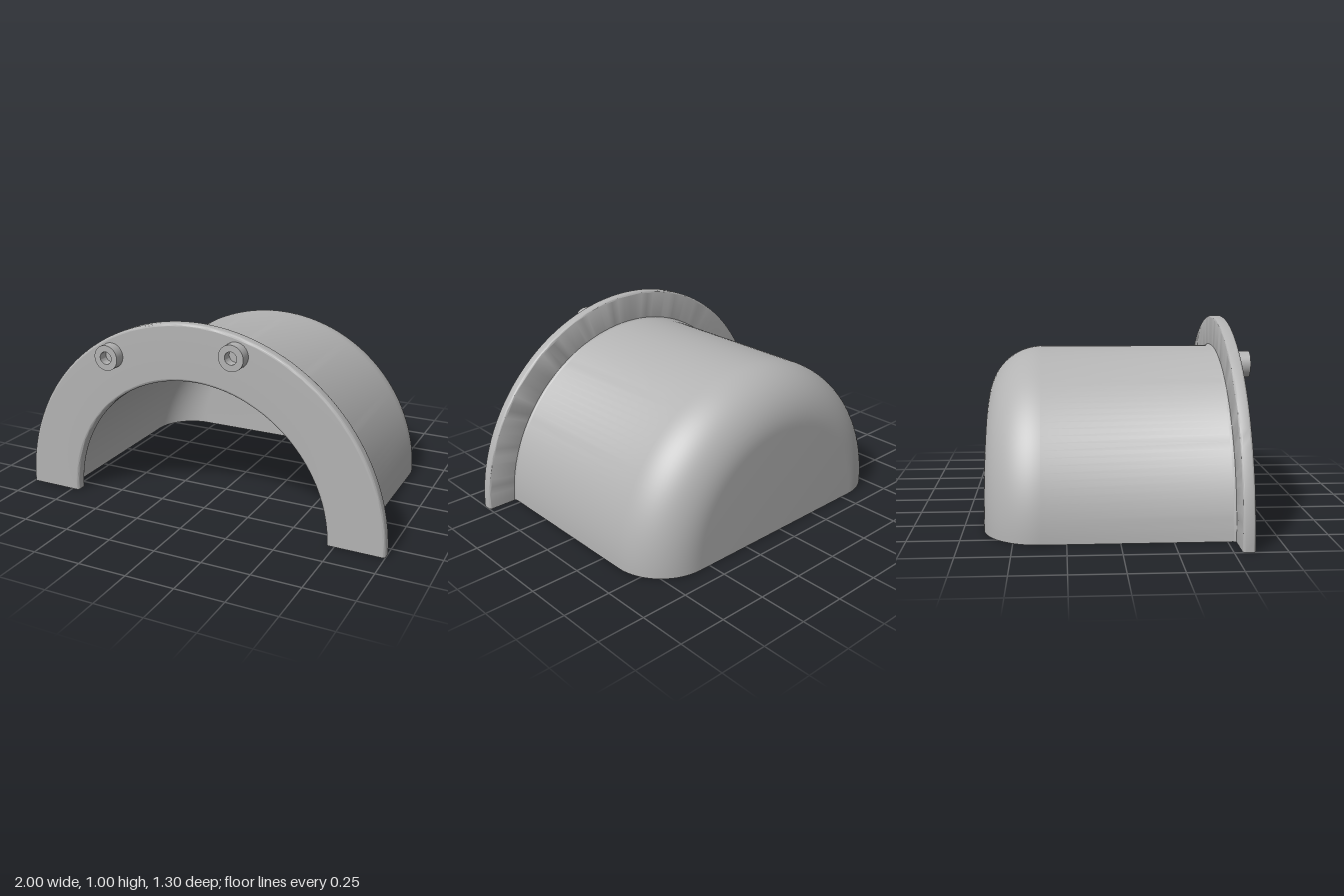
import * as THREE from 'three';
import { toCreasedNormals } from 'three/addons/utils/BufferGeometryUtils.js';

const grey = new THREE.MeshStandardMaterial({ color: 0xb3b3b3 });
grey.name = 'plain grey';

// Half revolution of a closed (radius, z) outline about the z axis, arching over y = 0
function halfRevolve(name, shape) {
  const points = shape.getPoints(10);
  const group = new THREE.Group();
  group.name = name;
  const arch = new THREE.LatheGeometry(points, 72, Math.PI / 2, Math.PI).rotateX(Math.PI / 2);
  const surface = new THREE.Mesh(toCreasedNormals(arch, 0.6), grey);
  surface.name = name + 'Surface';
  group.add(surface);

  // Flat feet closing the two cut ends
  for (const side of [1, -1]) {
    const outline = new THREE.Shape(points.map((p) => new THREE.Vector2(side * p.x, p.y)));
    const foot = new THREE.Mesh(new THREE.ShapeGeometry(outline).rotateX(Math.PI / 2), grey);
    foot.name = name + (side > 0 ? 'LeftFoot' : 'RightFoot');
    group.add(foot);
  }
  return group;
}

// Thin hood with a rounded back and a small fillet where it meets the flange
function hoodOutline() {
  const s = new THREE.Shape();
  s.moveTo(0, -0.65);
  s.lineTo(0.56, -0.65);
  s.absarc(0.56, -0.37, 0.28, -Math.PI / 2, 0, false);
  s.lineTo(0.837, 0.525);
  s.quadraticCurveTo(0.84, 0.54, 0.855, 0.545);
  s.lineTo(0.78, 0.545);
  s.lineTo(0.78, -0.37);
  s.absarc(0.56, -0.37, 0.22, 0, -Math.PI / 2, true);
  s.lineTo(0, -0.59);
  return s;
}

// Flat ring with softly rounded edges
function flangeOutline() {
  const s = new THREE.Shape();
  const [r0, r1, z0, z1, e] = [0.71, 1, 0.54, 0.6, 0.014];
  s.moveTo(r0 + e, z0);
  s.lineTo(r1 - e, z0);
  s.absarc(r1 - e, z0 + e, e, -Math.PI / 2, 0, false);
  s.lineTo(r1, z1 - e);
  s.absarc(r1 - e, z1 - e, e, 0, Math.PI / 2, false);
  s.lineTo(r0 + e, z1);
  s.absarc(r0 + e, z1 - e, e, Math.PI / 2, Math.PI, false);
  s.lineTo(r0, z0 + e);
  s.absarc(r0 + e, z0 + e, e, Math.PI, Math.PI * 1.5, false);
  return s;
}

// Short round peg with a blind hole in its front
function peg(name, x, y) {
  const profile = [[0.065, -0.01], [0.065, 0.055], [0.032, 0.055], [0.032, 0.005], [0, 0.005]]
    .map(([r, z]) => new THREE.Vector2(r, z));
  const geometry = new THREE.LatheGeometry(profile, 40).rotateX(Math.PI / 2);
  const mesh = new THREE.Mesh(toCreasedNormals(geometry, 0.6), grey);
  mesh.name = name;
  mesh.position.set(x, y, 0.6);
  return mesh;
}

export function createModel() {
  const model = new THREE.Group();
  model.name = 'archedHood';
  model.add(
    halfRevolve('hood', hoodOutline()),
    halfRevolve('flange', flangeOutline()),
    peg('rightPeg', -0.455, 0.79),
    peg('leftPeg', 0.235, 0.88),
  );
  return model;
}
